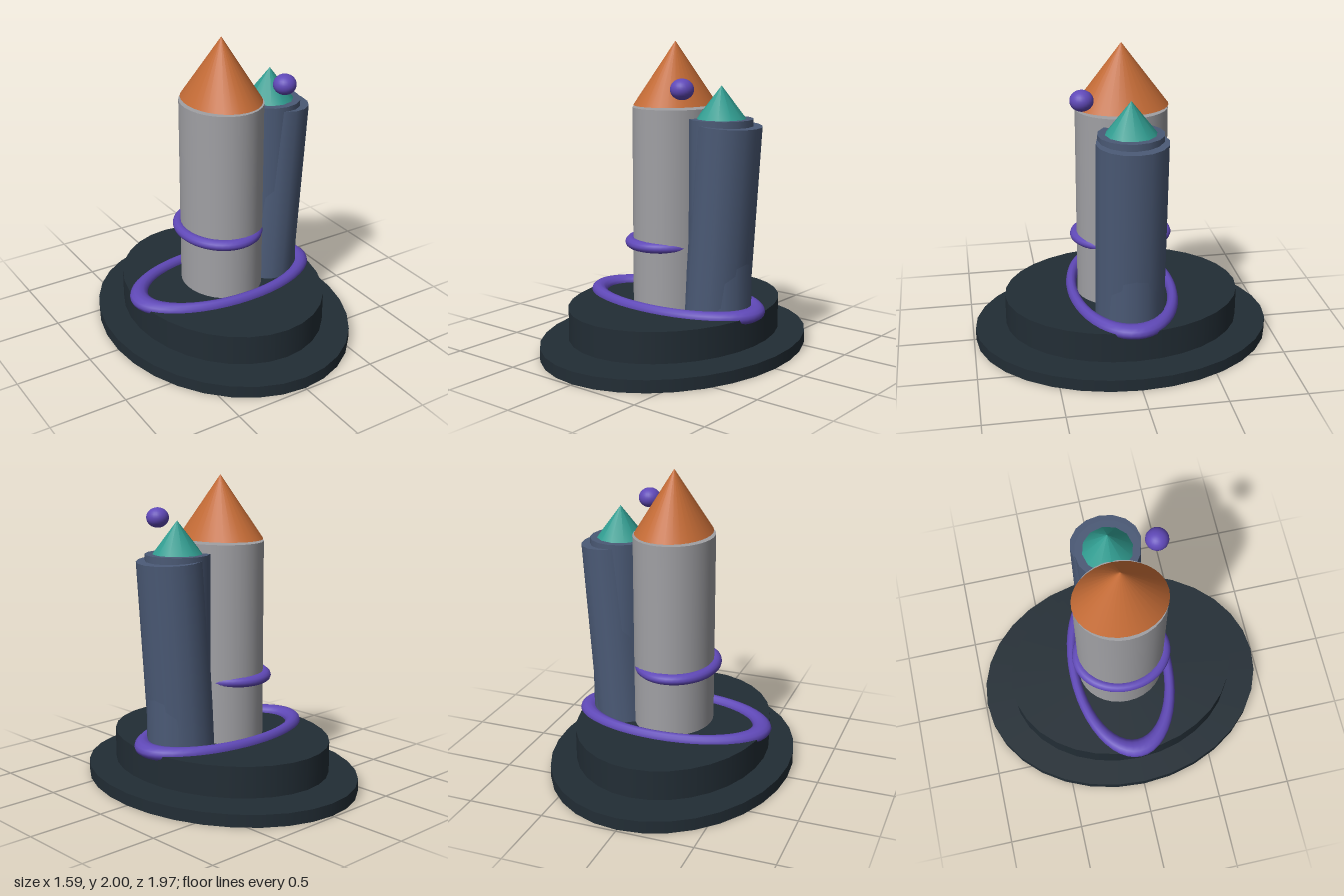
import * as THREE from 'three';

const mat = (name, color) => {
  const m = new THREE.MeshStandardMaterial({ color });
  m.name = name;
  return m;
};

export function createModel() {
  const group = new THREE.Group();
  const dark = mat('dark slate', 0x222d35);
  const grey = mat('light grey', 0xa0a0a4);
  const orange = mat('orange', 0xc26a35);
  const purple = mat('purple', 0x6049b8);
  const blue = mat('slate blue', 0x4b5a76);
  const teal = mat('teal', 0x309c90);

  const add = (name, geometry, material, x, y, z = 0) => {
    const mesh = new THREE.Mesh(geometry, material);
    mesh.name = name;
    mesh.position.set(x, y, z);
    group.add(mesh);
    return mesh;
  };
  // Upright oval cylinder between two heights
  const drum = (name, material, rx, rz, y0, y1, x = 0, sides = 32) =>
    add(name, new THREE.CylinderGeometry(1, 1, y1 - y0, sides).scale(rx, 1, rz), material, x, (y0 + y1) / 2);
  // Oval cone between two heights
  const cone = (name, material, rx, rz, y0, y1, x = 0, sides = 32) =>
    add(name, new THREE.ConeGeometry(1, y1 - y0, sides).scale(rx, 1, rz), material, x, (y0 + y1) / 2);
  // Flat-lying oval ring; outer radii and half height
  const ring = (name, rx, rz, tube, halfHeight, x, y) =>
    add(name, new THREE.TorusGeometry(1 - tube, tube, 12, 48).rotateX(Math.PI / 2)
      .scale(rx, halfHeight / tube, rz), purple, x, y);

  // Stepped base
  drum('lowerBase', dark, 0.795, 0.985, 0, 0.08);
  drum('upperBase', dark, 0.63, 0.78, 0.11, 0.31);

  // Main tower
  drum('mainTower', grey, 0.26, 0.295, 0.3, 1.585);
  cone('mainRoof', orange, 0.245, 0.3, 1.6, 2);

  // Side tower: an upright core inside a leaning sleeve
  drum('sideTowerCore', blue, 0.2, 0.207, 0.3, 1.53, 0.365, 16);
  const sleeve = drum('sideTowerSleeve', blue, 0.2, 0.225, 0.29, 1.497, 0.383, 16);
  sleeve.rotation.z = -0.07;
  cone('sideRoof', teal, 0.155, 0.16, 1.53, 1.735, 0.365, 12);

  // Rings and floating ball
  ring('towerRing', 0.28, 0.335, 0.13, 0.035, -0.03, 0.71);
  ring('baseRing', 0.67, 0.365, 0.095, 0.045, 0, 0.31);
  add('ball', new THREE.SphereGeometry(1, 24, 16).scale(0.073, 0.065, 0.073), purple, 0.28, 1.725, 0.287);

  return group;
}
